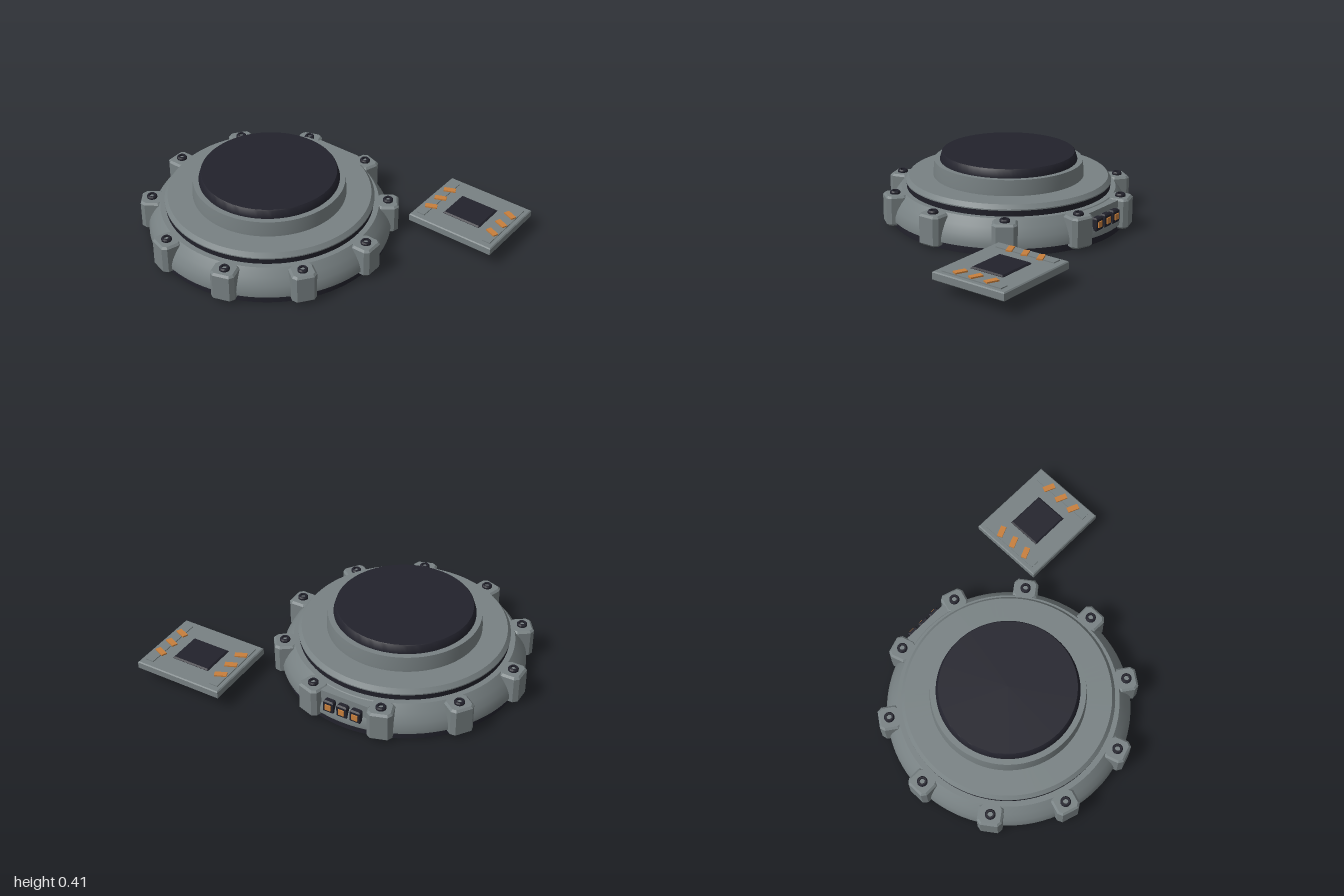
import * as THREE from 'three';
import { toCreasedNormals } from 'three/addons/utils/BufferGeometryUtils.js';

export function createModel() {
  const model = new THREE.Group();
  const material = (name, color) => Object.assign(new THREE.MeshStandardMaterial({ color }), { name });
  const grey = material('steel grey', 0x788183);
  const dark = material('near black', 0x22222c);
  const copper = material('copper', 0xc87f3c);

  const add = (parent, name, geometry, mat, x = 0, y = 0, z = 0) => {
    const mesh = new THREE.Mesh(geometry, mat);
    mesh.name = name;
    mesh.position.set(x, y, z);
    parent.add(mesh);
    return mesh;
  };
  const group = (parent, name, x, y, z) => {
    const g = new THREE.Group();
    g.name = name;
    g.position.set(x, y, z);
    parent.add(g);
    return g;
  };
  const lathe = (points) => toCreasedNormals(
    new THREE.LatheGeometry(points.map(([r, y]) => new THREE.Vector2(r, y)), 96), 0.5);
  // upright prism with bevelled edges, occupying y0..y1
  const prism = (corners, y0, y1, bevel) => {
    const shape = new THREE.Shape(corners.map(([x, z]) => new THREE.Vector2(x, -z)));
    const g = new THREE.ExtrudeGeometry(shape, {
      depth: y1 - y0 - 2 * bevel, bevelEnabled: bevel > 0, bevelSize: bevel,
      bevelThickness: bevel, bevelOffset: -bevel, bevelSegments: 1,
    });
    g.rotateX(-Math.PI / 2);
    g.translate(0, y0 + bevel, 0);
    return g;
  };
  const rect = (w, d) => [[-w / 2, -d / 2], [-w / 2, d / 2], [w / 2, d / 2], [w / 2, -d / 2]];

  // Round body, stacked from turned rings
  const body = group(model, 'body', -0.24, 0, 0.09);
  add(body, 'basePlate', lathe([[0, 0], [0.705, 0], [0.705, 0.05], [0, 0.05]]), dark);
  add(body, 'outerRing', lathe([
    [0.6, 0.045], [0.718, 0.045], [0.718, 0.07], [0.705, 0.11], [0.68, 0.155], [0.645, 0.2], [0.58, 0.2],
  ]), grey);
  add(body, 'seal', lathe([[0.58, 0.19], [0.612, 0.197], [0.616, 0.235], [0.58, 0.236]]), dark);
  add(body, 'lowerLid', lathe([[0.57, 0.235], [0.617, 0.235], [0.617, 0.242], [0.598, 0.267], [0.4, 0.267]]), grey);
  add(body, 'upperLid', lathe([[0.452, 0.26], [0.452, 0.285], [0.445, 0.36], [0.38, 0.36]]), grey);
  add(body, 'topCap', lathe([[0.412, 0.355], [0.412, 0.365], [0.4, 0.405], [0.395, 0.41], [0, 0.41]]), dark);

  // Ten bolted lugs around the rim
  const lugShape = [
    [0.62, -0.045], [0.62, 0.045], [0.655, 0.072], [0.735, 0.072], [0.76, 0.05],
    [0.76, -0.05], [0.735, -0.072], [0.655, -0.072],
  ];
  const lugGeometry = prism(lugShape, 0.018, 0.2, 0.012);
  const headGeometry = lathe([[0.03, 0.195], [0.03, 0.21], [0.024, 0.218], [0.015, 0.218], [0.015, 0.2]]);
  const socketGeometry = new THREE.CylinderGeometry(0.016, 0.016, 0.014, 6);
  for (let i = 0; i < 10; i++) {
    const lug = group(body, 'lug', 0, 0, 0);
    lug.rotation.y = i * Math.PI / 5;
    add(lug, 'lugBlock', lugGeometry, grey);
    const screw = group(lug, 'screw', 0.697, 0, 0);
    add(screw, 'screwHead', headGeometry, dark);
    add(screw, 'screwSocket', socketGeometry, grey, 0, 0.2, 0);
  }

  // Three connectors on a flat panel at the back
  const connectors = group(body, 'connectors', 0, 0.12, -0.69);
  add(connectors, 'connectorPanel', new THREE.BoxGeometry(0.3, 0.15, 0.06), grey, 0, 0, 0.03);
  for (const x of [-0.085, 0, 0.085]) {
    add(connectors, 'connectorBlock', prism(rect(0.064, 0.05), -0.04, 0.04, 0.008), dark, x, 0, -0.008);
    add(connectors, 'connectorContact', new THREE.BoxGeometry(0.036, 0.036, 0.009), copper, x, 0, -0.035);
  }

  // Separate circuit board
  const board = group(model, 'board', 0.722, 0, -0.605);
  add(board, 'boardPlate', prism(rect(0.556, 0.47), 0.078, 0.128, 0.006), grey);
  add(board, 'chipTop', prism(rect(0.245, 0.212), 0.11, 0.138, 0.008), dark);
  add(board, 'chipUnderside', prism(rect(0.245, 0.212), 0.016, 0.1, 0.02), dark);
  for (const side of [-1, 1]) {
    add(board, 'contactRail', new THREE.BoxGeometry(0.052, 0.012, 0.39), grey, side * 0.224, 0.128, 0);
    for (const z of [-0.102, 0, 0.102]) {
      const pin = add(board, 'contactPin', new THREE.BoxGeometry(0.072, 0.009, 0.034), copper, side * 0.21, 0.138, z);
      pin.rotation.y = -side * 0.4;
    }
  }
  return model;
}
